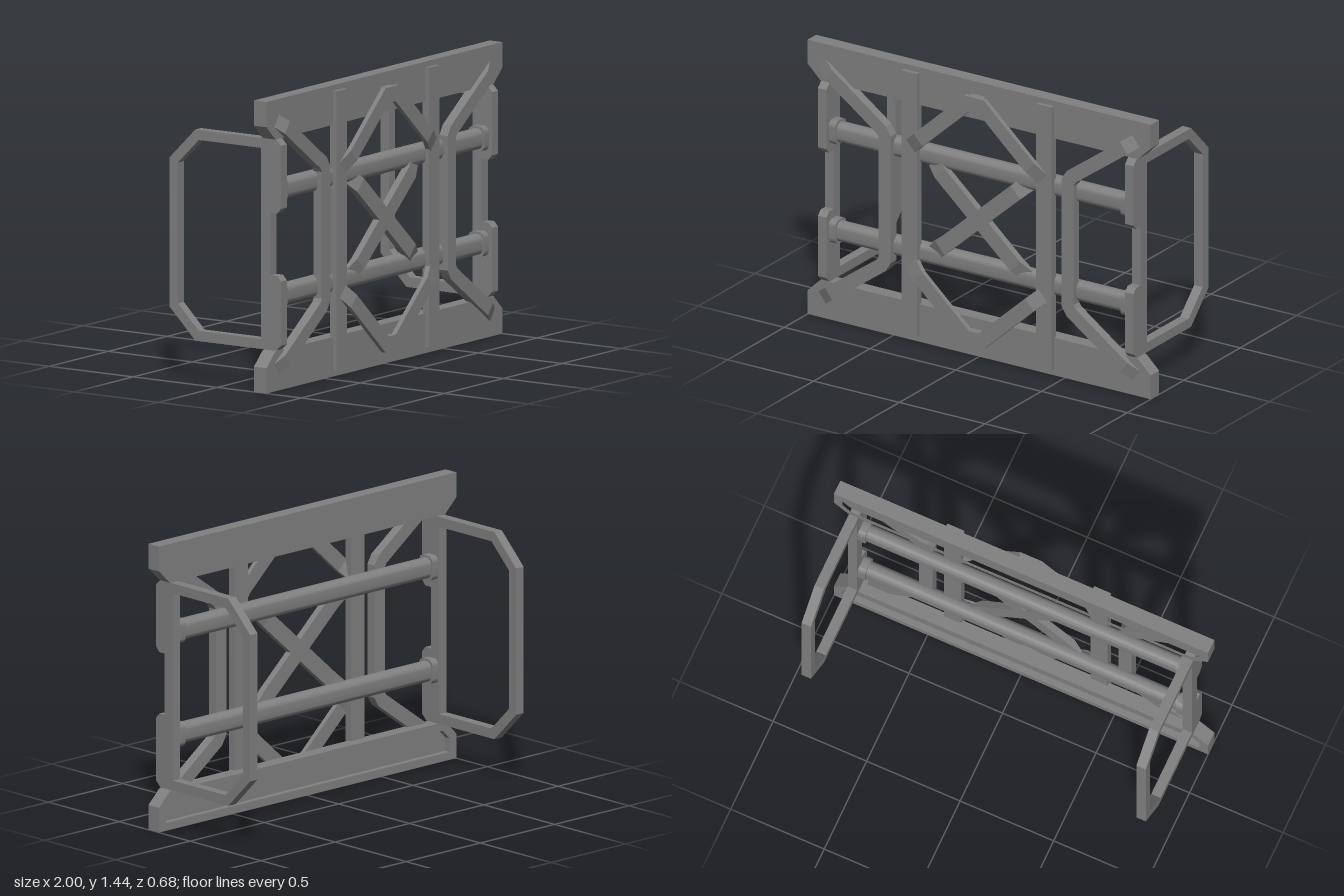
import * as THREE from 'three';
import { toCreasedNormals } from 'three/addons/utils/BufferGeometryUtils.js';

const H = 1.443; // total height
const grey = new THREE.MeshStandardMaterial({ color: 0x808080 });
grey.name = 'grey metal';

const toShape = (pts) => new THREE.Shape(pts.map(([x, y]) => new THREE.Vector2(x, y)));
const flip = (pts) => pts.map(([x, y, ...z]) => [x, H - y, ...z]);
const mirror = (pts) => pts.map(([x, ...rest]) => [-x, ...rest]);

// extrude a front outline between two z values
function slab(shape, z0, z1) {
  return new THREE.ExtrudeGeometry(shape, { depth: z1 - z0, bevelEnabled: false }).translate(0, 0, z0);
}

// extrude a (z, y) profile along x
function sideSlab(shape, x0, x1) {
  return new THREE.ExtrudeGeometry(shape, { depth: x1 - x0, bevelEnabled: false, curveSegments: 6 })
    .rotateY(-Math.PI / 2).translate(x1, 0, 0);
}

// rounded rectangle centred on (z, y)
function roundedRect(z, y, hz, hy, r) {
  const s = new THREE.Shape();
  s.absarc(z + hz - r, y + hy - r, r, 0, Math.PI / 2);
  s.absarc(z - hz + r, y + hy - r, r, Math.PI / 2, Math.PI);
  s.absarc(z - hz + r, y - hy + r, r, Math.PI, Math.PI * 1.5);
  s.absarc(z + hz - r, y - hy + r, r, Math.PI * 1.5, Math.PI * 2);
  s.closePath();
  return s;
}

// flat bar swept along [x, y, zBack, zFront] stations with mitred corners
function strap(path, width) {
  const dirs = path.slice(1).map((p, i) => new THREE.Vector2(p[0] - path[i][0], p[1] - path[i][1]).normalize());
  const sections = path.map(([x, y, zb, zf], i) => {
    const a = dirs[Math.max(i - 1, 0)], b = dirs[Math.min(i, dirs.length - 1)];
    const d = a.clone().add(b).normalize();
    const k = width / 2 / d.dot(a);
    const nx = -d.y * k, ny = d.x * k;
    return [[x + nx, y + ny, zf], [x - nx, y - ny, zf], [x - nx, y - ny, zb], [x + nx, y + ny, zb]];
  });
  const pos = [];
  const quad = (a, b, c, d) => pos.push(...a, ...b, ...c, ...a, ...c, ...d);
  for (let i = 0; i < sections.length - 1; i++) {
    const s = sections[i], t = sections[i + 1];
    for (let k = 0; k < 4; k++) {
      const n = (k + 1) % 4;
      quad(s[n], t[n], t[k], s[k]);
    }
  }
  const s = sections[0], e = sections[sections.length - 1];
  quad(s[0], s[3], s[2], s[1]);
  quad(e[0], e[1], e[2], e[3]);
  const g = new THREE.BufferGeometry();
  g.setAttribute('position', new THREE.Float32BufferAttribute(pos, 3));
  g.computeVertexNormals();
  return g;
}

export function createModel() {
  const model = new THREE.Group();
  model.name = 'barrier frame';
  const add = (name, geometry) => {
    const m = new THREE.Mesh(geometry, grey);
    m.name = name;
    model.add(m);
  };

  // top and bottom beams with a recessed back
  const beam = [[-1, 0], [1, 0], [1, 0.125], [0.925, 0.197], [-0.925, 0.197], [-1, 0.125]];
  const recess = [[-0.955, 0.04], [0.955, 0.04], [0.955, 0.108], [0.907, 0.157], [-0.907, 0.157], [-0.955, 0.108]];
  for (const [name, f] of [['bottomBeam', (p) => p], ['topBeam', flip]]) {
    const rim = toShape(f(beam));
    rim.holes.push(toShape(f(recess)));
    add(name + 'Face', slab(toShape(f(beam)), 0.25, 0.293));
    add(name + 'Rim', slab(rim, 0.218, 0.25));
  }

  // side posts with a notched front, and the guard handles behind them
  const post = [[0.205, 0.2], [0.295, 0.2], [0.323, 0.228], [0.323, 0.545], [0.3, 0.57], [0.262, 0.57],
    [0.262, 0.88], [0.3, 0.88], [0.323, 0.905], [0.323, 1.217], [0.295, 1.245], [0.205, 1.245]];
  const handle = [[0.21, 1.245], [-0.187, 1.245], [-0.34, 1.092], [-0.34, 0.353], [-0.187, 0.2], [0.21, 0.2],
    [0.21, 0.25], [-0.166, 0.25], [-0.29, 0.374], [-0.29, 1.071], [-0.166, 1.195], [0.21, 1.195]];
  for (const [side, x] of [['left', 0.87], ['right', -0.92]]) {
    add(side + 'Post', sideSlab(toShape(post), x, x + 0.05));
    add(side + 'Handle', sideSlab(toShape(handle), x, x + 0.05));
  }

  // horizontal rods with end collars
  for (const [name, y] of [['lower', 0.464], ['upper', 0.986]]) {
    add(name + 'Rod', toCreasedNormals(sideSlab(roundedRect(0.256, y, 0.038, 0.052, 0.034), -0.87, 0.87), 0.6));
    for (const x of [-0.875, 0.83])
      add(name + 'RodCollar', toCreasedNormals(sideSlab(roundedRect(0.256, y, 0.047, 0.062, 0.03), x, x + 0.045), 0.6));
  }

  // vertical bars
  for (const x of [-0.392, 0.392])
    add('verticalBar', strap([[x, 0.03, 0.275, 0.315], [x, 1.415, 0.275, 0.315]], 0.09));

  // side brackets, their ends sinking into the beams
  const upperHalf = [[0.925, 1.345, 0.26, 0.288], [0.86, 1.298, 0.27, 0.32],
    [0.553, 1.078, 0.27, 0.32], [0.533, 1.045, 0.27, 0.32]];
  const bracket = [...upperHalf, ...flip(upperHalf).reverse()];
  add('leftBracket', strap(bracket, 0.07));
  add('rightBracket', strap(mirror(bracket), 0.07));

  // upper and lower arches across the vertical bars
  const archHalf = [[0.387, 1.026, 0.285, 0.314], [0.325, 1.082, 0.315, 0.34], [0.042, 1.338, 0.315, 0.34]];
  const arch = [...archHalf, ...mirror(archHalf).reverse()];
  const pad = [[-0.04, 1.338, 0.285, 0.339], [0.04, 1.338, 0.285, 0.339]];
  for (const [name, f] of [['upperArch', (p) => p], ['lowerArch', flip]]) {
    add(name, strap(f(arch), 0.076));
    add(name + 'Pad', strap(f(pad), 0.074));
  }

  // centre cross with tapered ends
  const cross = [[-0.275, 0.965, 0.262, 0.28], [-0.22, 0.917, 0.27, 0.306],
    [0.22, 0.526, 0.27, 0.306], [0.275, 0.478, 0.262, 0.28]];
  add('crossBar', strap(cross, 0.082));
  add('crossBar', strap(mirror(cross), 0.082));

  return model;
}
